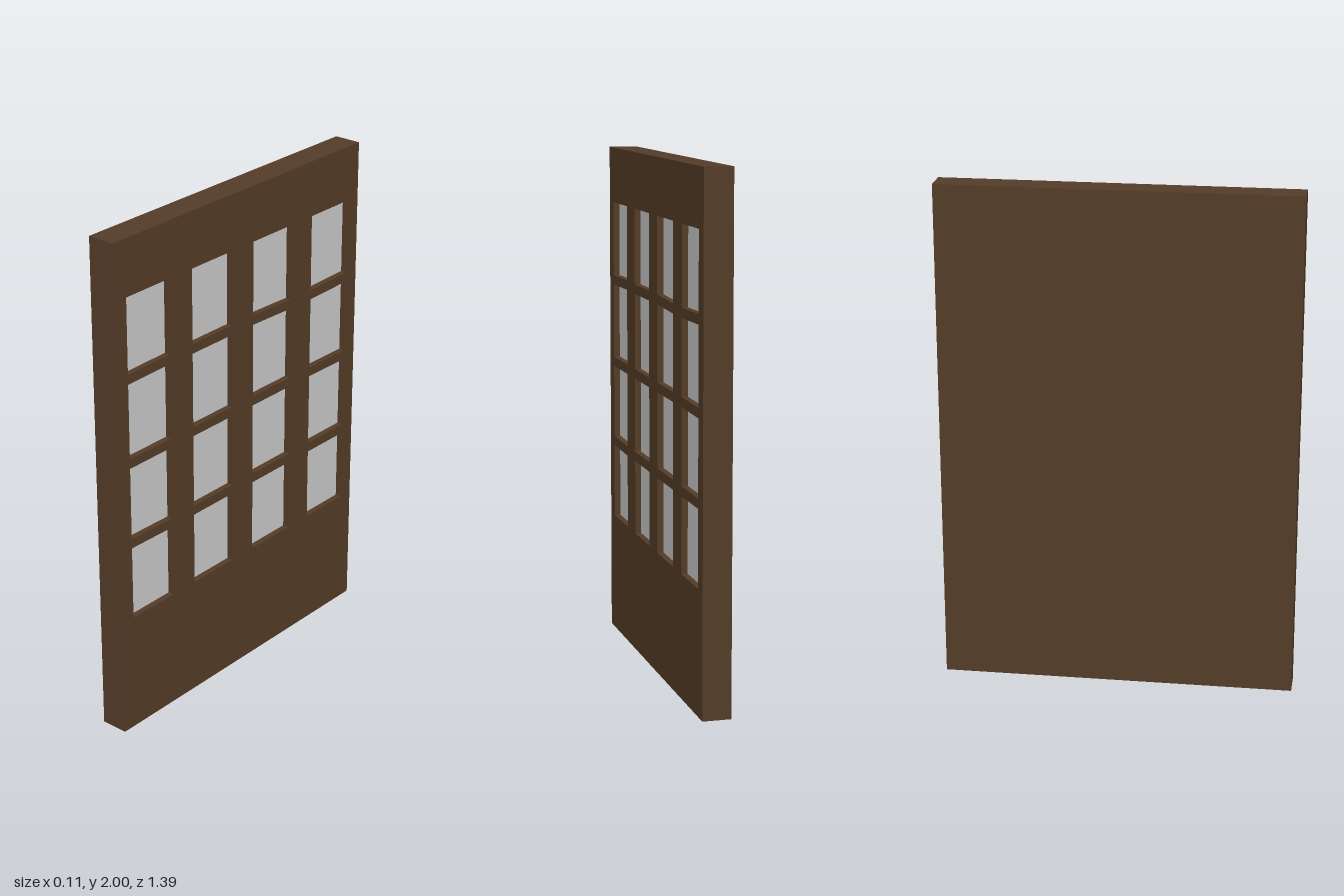
import * as THREE from 'three';

const HALF = 0.693, HEIGHT = 2, FRONT = 0.055, RECESS = 0.025;
const SILL = 0.48, HEAD = 1.78, BAR = 0.019;

// Window columns: left and right edge, then bar heights [left end, right end] from bottom to top
const columns = [
  { u: [-0.631, -0.408], bars: [[0.797, 0.792], [1.127, 1.127], [1.463, 1.466]] },
  { u: [-0.284, -0.061], bars: [[0.794, 0.794], [1.127, 1.127], [1.464, 1.464]] },
  { u: [0.061, 0.286], bars: [[0.794, 0.794], [1.127, 1.127], [1.464, 1.457]] },
  { u: [0.408, 0.631], bars: [[0.794, 0.794], [1.127, 1.124], [1.456, 1.460]] },
];

// Corner points of the four openings in one column
function openings({ u: [a, b], bars }) {
  const result = [];
  for (let i = 0; i <= bars.length; i++) {
    const low = i === 0 ? [SILL, SILL] : bars[i - 1].map((y) => y + BAR);
    const high = i === bars.length ? [HEAD, HEAD] : bars[i].map((y) => y - BAR);
    result.push([[a, low[0]], [b, low[1]], [b, high[1]], [a, high[0]]].map((p) => new THREE.Vector2(...p)));
  }
  return result;
}

export function createModel() {
  const model = new THREE.Group();
  model.name = 'panelledDoor';
  const wood = new THREE.MeshStandardMaterial({ color: 0x543c27 });
  const glass = new THREE.MeshStandardMaterial({ color: 0xcccccc });

  function add(name, geometry, material) {
    const mesh = new THREE.Mesh(geometry, material);
    mesh.name = name;
    model.add(mesh);
    return mesh;
  }

  // Solid back panel
  const thickness = 2 * FRONT - RECESS;
  const back = add('backPanel', new THREE.BoxGeometry(thickness, HEIGHT, 2 * HALF), wood);
  back.position.set(-RECESS / 2, HEIGHT / 2, 0);

  // Window frame with a hole for every pane, facing +x
  const holes = columns.flatMap(openings);
  const outline = new THREE.Shape([[-HALF, 0], [HALF, 0], [HALF, HEIGHT], [-HALF, HEIGHT]].map((p) => new THREE.Vector2(...p)));
  outline.holes = holes.map((points) => new THREE.Path(points));
  const frame = add('windowFrame', new THREE.ExtrudeGeometry(outline, { depth: RECESS, bevelEnabled: false }), wood);
  frame.rotation.y = Math.PI / 2;
  frame.position.x = FRONT - RECESS;

  // Panes at the bottom of the recesses
  for (const points of holes) {
    const pane = add('windowPane', new THREE.ShapeGeometry(new THREE.Shape(points)), glass);
    pane.rotation.y = Math.PI / 2;
    pane.position.x = FRONT - RECESS + 0.001;
  }
  return model;
}
